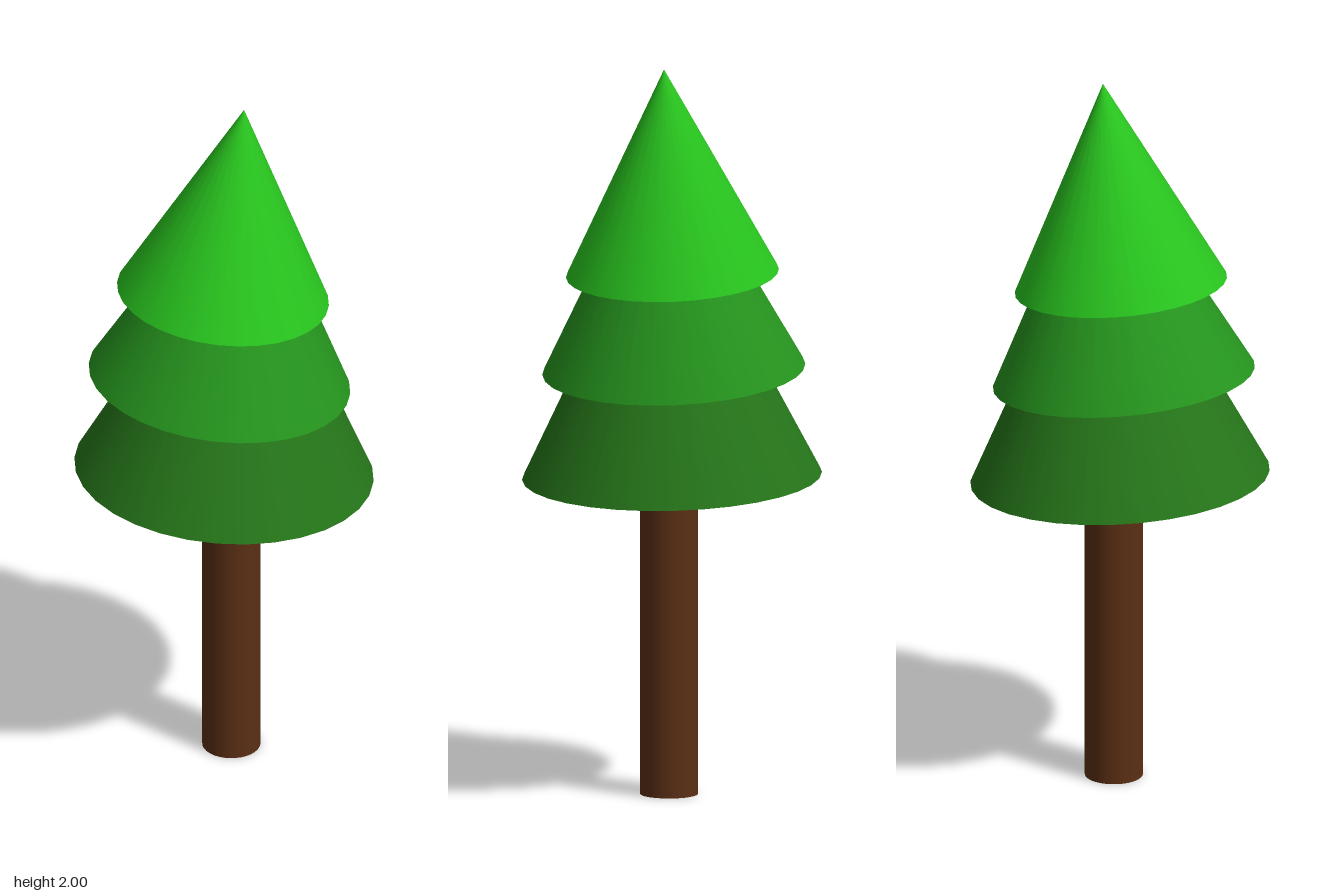
import * as THREE from 'three';

export function createModel() {
  const tree = new THREE.Group();
  tree.name = 'pineTree';

  const add = (name, geometry, color) => {
    const mesh = new THREE.Mesh(geometry, new THREE.MeshStandardMaterial({ color }));
    mesh.name = name;
    tree.add(mesh);
    return mesh;
  };

  // Trunk, running up into the lowest tier
  const trunkHeight = 1.0;
  add('trunk', new THREE.CylinderGeometry(0.079, 0.079, trunkHeight, 32), 0x5a2f14)
    .position.set(0.02, trunkHeight / 2, 0);

  // Foliage tiers: closed cones, each leaning slightly towards +x
  const tiers = [
    { name: 'lowerFoliage', radius: 0.407, height: 0.82, x: -0.001, y: 0.872, lean: 0.068, color: 0x257519 },
    { name: 'middleFoliage', radius: 0.357, height: 0.69, x: -0.014, y: 1.163, lean: 0.112, color: 0x25941d },
    { name: 'upperFoliage', radius: 0.289, height: 0.574, x: -0.004, y: 1.429, lean: 0.106, color: 0x28c41e },
  ];
  for (const { name, radius, height, x, y, lean, color } of tiers) {
    const cone = new THREE.ConeGeometry(radius, height, 32).translate(0, height / 2, 0);
    const tier = add(name, cone, color);
    tier.position.set(x, y, 0);
    tier.rotation.z = -lean;
  }

  return tree;
}
